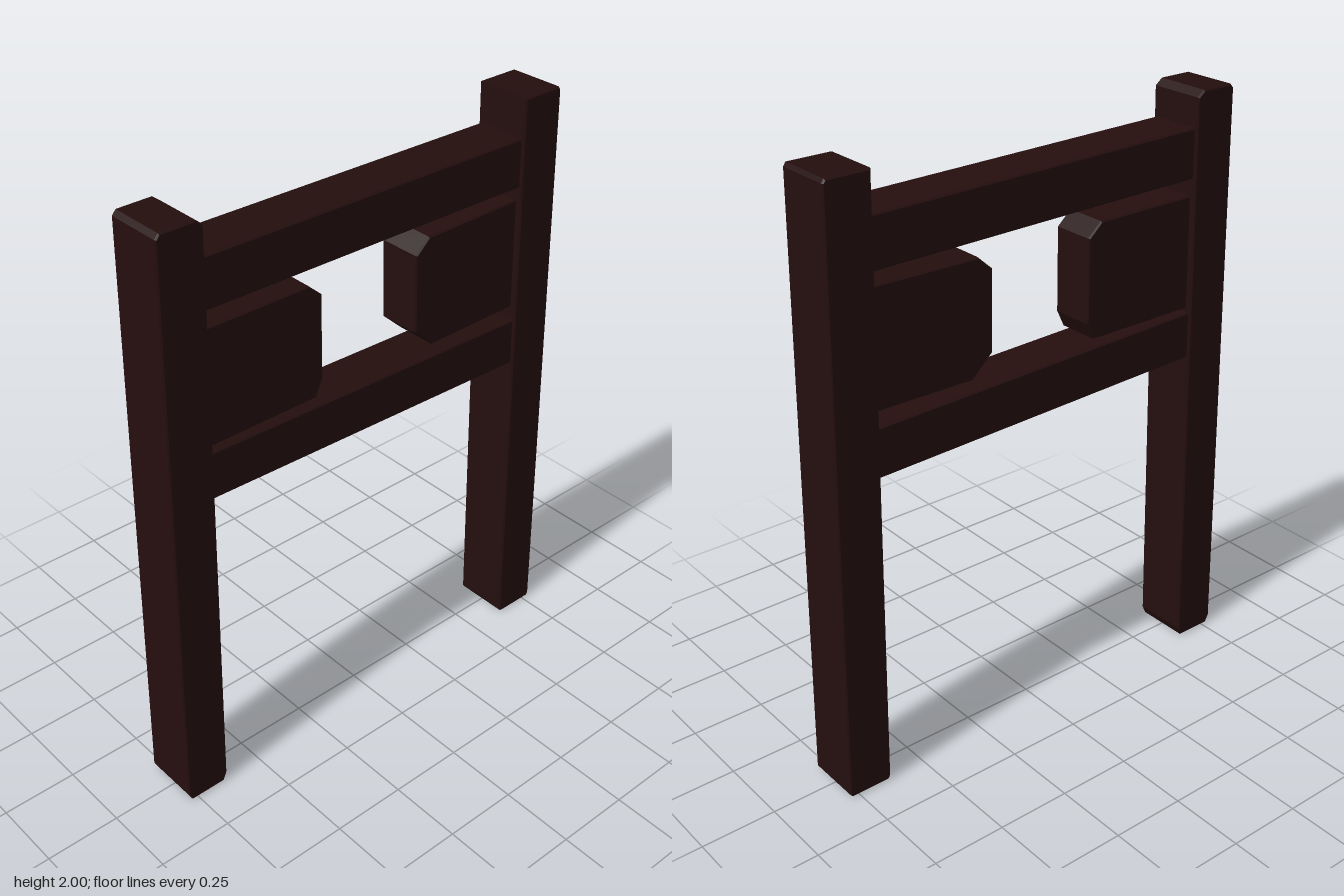
import * as THREE from 'three';

export function createModel() {
  const group = new THREE.Group();
  const darkWood = new THREE.MeshStandardMaterial({ color: 0x250e0e });
  darkWood.name = 'darkWood';

  // A plank cut to a front outline, with a fine bevel along its edges
  const bevel = 0.005;
  function plank(name, outline, depth) {
    const shape = new THREE.Shape(outline.map(([x, y]) => new THREE.Vector2(x, y)));
    const geometry = new THREE.ExtrudeGeometry(shape, {
      depth: depth - 2 * bevel,
      bevelEnabled: true,
      bevelThickness: bevel,
      bevelSize: bevel,
      bevelOffset: -bevel,
      bevelSegments: 1,
    });
    geometry.translate(0, 0, bevel - depth / 2);
    const mesh = new THREE.Mesh(geometry, darkWood);
    mesh.name = name;
    group.add(mesh);
  }

  // Leaning posts with worn corners
  plank('rightPost', [
    [-0.77, 0], [-0.645, 0], [-0.632, 0.03], [-0.6, 1.98],
    [-0.625, 2], [-0.74, 2], [-0.753, 1.985], [-0.785, 0.03],
  ], 0.195);
  plank('leftPost', [
    [0.638, 0], [0.772, 0], [0.782, 0.012], [0.753, 1.988],
    [0.745, 2], [0.6, 2], [0.63, 0.012],
  ], 0.195);

  // Slightly sloping cross beams, their ends set into the posts
  plank('upperBeam', [[-0.67, 1.72], [0.67, 1.705], [0.67, 1.868], [-0.67, 1.884]], 0.172);
  plank('lowerBeam', [[-0.67, 1.107], [0.67, 1.07], [0.67, 1.233], [-0.67, 1.267]], 0.172);

  // Side panels with clipped inner corners
  plank('rightPanel', [
    [-0.65, 1.278], [-0.212, 1.278], [-0.185, 1.335],
    [-0.185, 1.615], [-0.235, 1.66], [-0.65, 1.662],
  ], 0.15);
  plank('leftPanel', [
    [0.65, 1.28], [0.65, 1.662], [0.235, 1.657],
    [0.183, 1.61], [0.186, 1.345], [0.26, 1.277],
  ], 0.15);

  return group;
}
